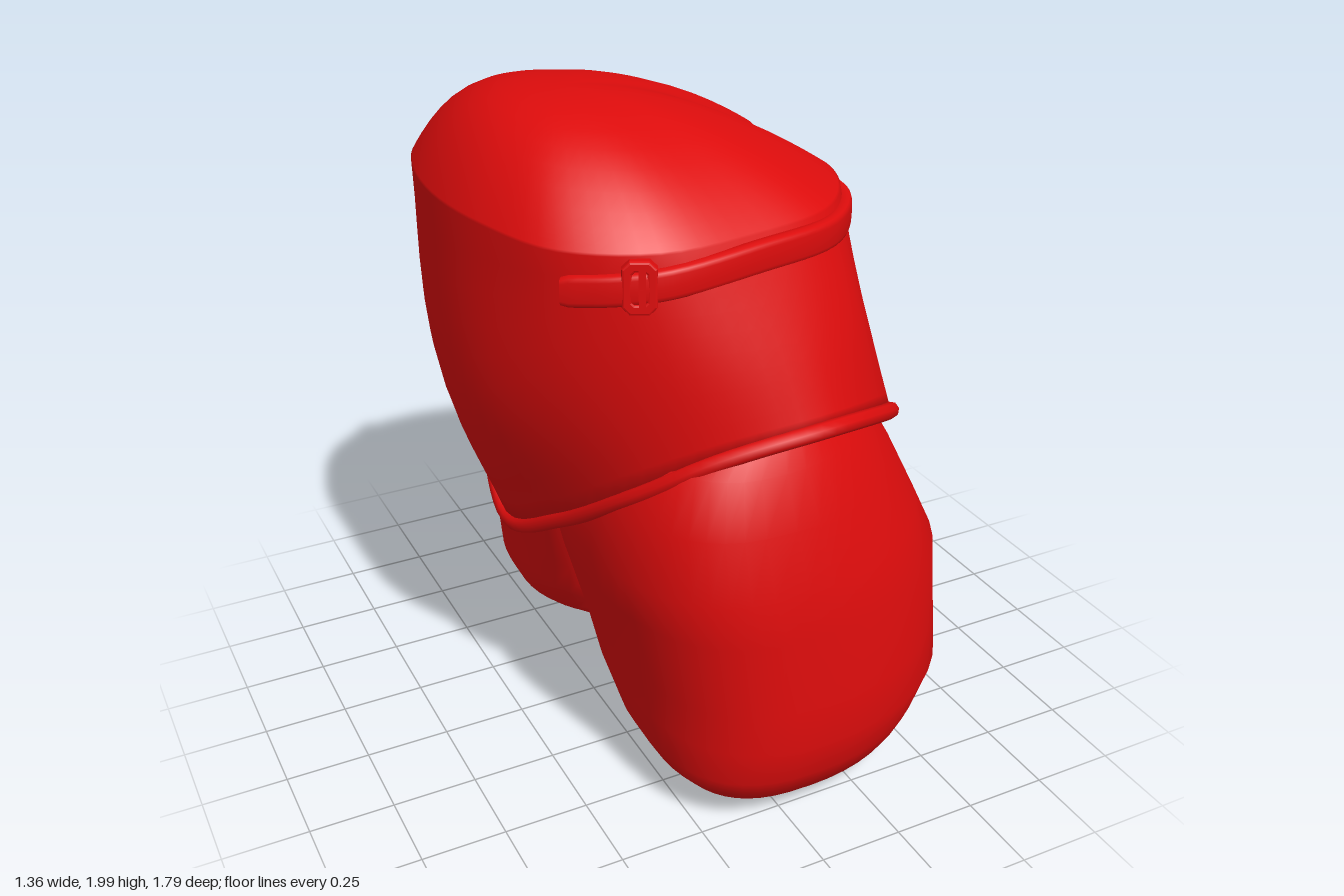
import * as THREE from 'three';
import { mergeVertices } from 'three/addons/utils/BufferGeometryUtils.js';

const V = (x, y, z) => new THREE.Vector3(x, y, z);
const material = new THREE.MeshStandardMaterial({ color: 0xdd0c0c, side: THREE.DoubleSide });

// Smooth surface from a rule (u runs around from +x towards +z, v runs upward)
function grid(fn, nu, nv) {
  const pos = [], idx = [];
  for (let j = 0; j <= nv; j++)
    for (let i = 0; i <= nu; i++) pos.push(...fn(i / nu, j / nv).toArray());
  for (let j = 0; j < nv; j++)
    for (let i = 0; i < nu; i++) {
      const a = j * (nu + 1) + i, c = a + nu + 1;
      idx.push(a, c, a + 1, a + 1, c, c + 1);
    }
  let g = new THREE.BufferGeometry();
  g.setAttribute('position', new THREE.Float32BufferAttribute(pos, 3));
  g.setIndex(idx);
  g = mergeVertices(g, 1e-5);
  g.computeVertexNormals();
  return g;
}

// Same rule reflected across z = 0, keeping faces outward
const mirrored = fn => (u, v) => {
  const p = fn(1 - u, v);
  p.z *= -1;
  return p;
};

// Closed curve from half an outline, back centre to front centre
function ring(half) {
  const pts = half.map(p => V(...p));
  const other = pts.slice(1, -1).reverse().map(p => V(p.x, p.y, -p.z));
  return new THREE.CatmullRomCurve3([...pts, ...other], true, 'centripetal');
}

const hem = ring([[0.585, 0.82, 0], [0.575, 0.88, 0.2], [0.52, 1.03, 0.42], [0.345, 1.17, 0.65], [0.07, 1.245, 0.785],
  [-0.2, 1.19, 0.725], [-0.36, 1.06, 0.58], [-0.46, 0.85, 0.28], [-0.51, 0.72, 0]]);
const waist = ring([[0.4, 1.3, 0], [0.43, 1.36, 0.2], [0.4, 1.4, 0.42], [0.28, 1.45, 0.61], [0.03, 1.45, 0.72],
  [-0.26, 1.45, 0.69], [-0.49, 1.4, 0.52], [-0.62, 1.25, 0.27], [-0.655, 1.15, 0]]);
const rim = ring([[0.33, 1.74, 0], [0.39, 1.75, 0.2], [0.355, 1.74, 0.36], [0.2, 1.74, 0.54], [-0.05, 1.74, 0.615],
  [-0.32, 1.74, 0.635], [-0.54, 1.74, 0.5], [-0.645, 1.75, 0.27], [-0.68, 1.75, 0]]);

// Torso: lip under the hem, wall up to the rim, domed cap
function torsoPoint(u, v) {
  const row = Math.round(v * 24);
  const h = hem.getPoint(u), r = rim.getPoint(u);
  if (row === 0) return h.lerp(V(0.05, 0.9, 0), 0.25);
  if (row <= 12) {
    return new THREE.CatmullRomCurve3([h, waist.getPoint(u), r]).getPoint((row - 1) / 11);
  }
  const scale = row === 24 ? 0 : Math.cos((row - 12) / 12 * Math.PI / 2);
  // The spine groove fades inward; the dome is fuller towards the front
  const groove = r.x > 0 ? 0.08 * Math.exp(-((r.z / 0.14) ** 2)) : 0;
  const dx = r.x + 0.32;
  const power = 2.6 - 0.75 * dx / Math.hypot(dx, r.z);
  return V(-0.32 + (dx + groove * (1 - scale)) * scale, r.y + (2 - r.y) * (1 - Math.pow(scale, power)), r.z * scale);
}

// Thigh sections: y, front x, back x, inner z, outer z
const sections = [
  [0.01, 0.2, 0.2, 0.48, 0.48], [0.01, -0.06, 0.46, 0.29, 0.68], [0.055, -0.17, 0.49, 0.26, 0.75],
  [0.1, -0.24, 0.525, 0.2, 0.805], [0.15, -0.285, 0.56, 0.13, 0.84], [0.21, -0.315, 0.6, 0, 0.875],
  [0.32, -0.335, 0.68, -0.16, 0.895], [0.45, -0.355, 0.682, -0.23, 0.893], [0.68, -0.41, 0.68, -0.3, 0.885],
  [0.82, -0.44, 0.61, -0.3, 0.877], [1.0, -0.42, 0.52, -0.3, 0.842], [1.15, -0.36, 0.41, -0.25, 0.798],
  [1.25, -0.22, 0.27, -0.1, 0.73]];

// Round at the back and inside, squarer at the outer front
function thighPoint(u, v) {
  const row = Math.round(v * (sections.length - 1));
  const [y, x0, x1, z0, z1] = sections[row];
  const c = Math.cos(u * Math.PI * 2), s = Math.sin(u * Math.PI * 2);
  const power = c < 0 && s > 0 ? 0.72 : 1;
  const bulge = t => Math.sign(t) * Math.pow(Math.abs(t), power);
  const xc = x0 + 0.41 * (x1 - x0);
  const x = xc + (c > 0 ? x1 - xc : xc - x0) * bulge(c);
  const z = (z0 + z1) / 2 + (z1 - z0) / 2 * bulge(s);
  const tilt = row < 2 ? 0.06 * (0.46 - x) : 0;
  return V(x, y + tilt, Math.max(z, 0));
}

// Side strap: flat rounded band swept along the waist
const strapPath = new THREE.CatmullRomCurve3([[0.38, 1.685, 0.22], [0.36, 1.68, 0.37], [0.205, 1.685, 0.555],
  [-0.05, 1.69, 0.635], [-0.3, 1.67, 0.645], [-0.42, 1.655, 0.595], [-0.53, 1.64, 0.505]].map(p => V(...p)));

function strapPoint(u, v) {
  const p = strapPath.getPoint(u), t = strapPath.getTangent(u);
  const out = V(t.z, 0, -t.x).normalize();
  const a = v * Math.PI * 2 - Math.PI / 2;
  const end = u === 0 || u === 1 ? 0.85 : 1;
  const sq = w => Math.sign(w) * Math.pow(Math.abs(w), 0.5);
  return p.addScaledVector(out, 0.022 * sq(Math.cos(a)) * end).add(V(0, 0.042 * sq(Math.sin(a)) * end, 0));
}

// Buckle: frame with cut corners and an opening
function buckleGeometry() {
  const outline = (S, w, h, c) => new S([[-w + c, -h], [w - c, -h], [w, -h + c], [w, h - c], [w - c, h], [-w + c, h],
    [-w, h - c], [-w, -h + c]].map(p => new THREE.Vector2(...p)));
  const shape = outline(THREE.Shape, 0.038, 0.064, 0.016);
  shape.holes.push(outline(THREE.Path, 0.024, 0.048, 0.01));
  return new THREE.ExtrudeGeometry(shape, { depth: 0.022, bevelSize: 0.006, bevelThickness: 0.006, bevelSegments: 2 });
}

export function createModel() {
  const model = new THREE.Group();
  model.name = 'lowerTorso';
  const add = (name, geometry) => {
    const mesh = new THREE.Mesh(geometry, material);
    mesh.name = name;
    model.add(mesh);
    return mesh;
  };

  add('torso', grid(torsoPoint, 80, 24));
  add('hemTrim', new THREE.TubeGeometry(hem, 120, 0.024, 8, true));

  for (const side of [1, -1]) {
    const label = side > 0 ? 'left' : 'right';
    const place = fn => (side > 0 ? fn : mirrored(fn));
    add(label + 'Thigh', grid(place(thighPoint), 48, sections.length - 1));
    add(label + 'Strap', grid(place(strapPoint), 36, 16));

    const buckle = add(label + 'Buckle', buckleGeometry());
    buckle.position.set(-0.37, 1.665, side * 0.615);
    buckle.rotation.y = side > 0 ? -0.45 : Math.PI + 0.45;

    // Cross bar of the buckle
    const bar = add(label + 'BuckleBar', new THREE.BoxGeometry(0.018, 0.1, 0.03));
    bar.position.set(-0.37, 1.665, side * 0.63);
    bar.rotation.y = -side * 0.45;
  }
  return model;
}
